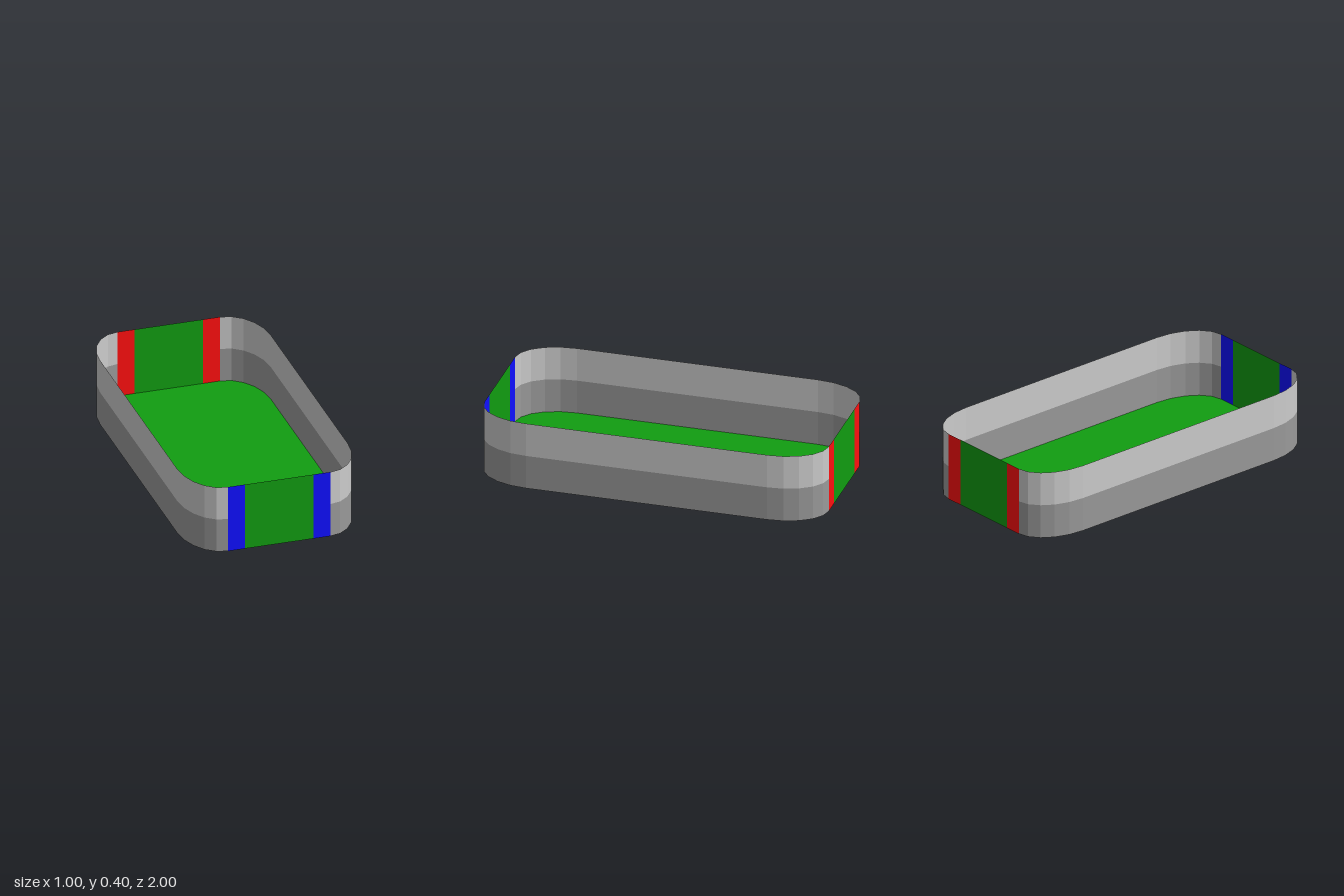
import * as THREE from 'three';

const HEIGHT = 0.4;

function material(color) {
  return new THREE.MeshStandardMaterial({ color, flatShading: true, side: THREE.DoubleSide });
}

// Thin upright wall following a plan path of [x, z] points
function wall(name, path, y0, y1, mat) {
  const positions = [];
  for (let i = 0; i < path.length - 1; i++) {
    const [ax, az] = path[i];
    const [bx, bz] = path[i + 1];
    positions.push(ax, y0, az, bx, y0, bz, bx, y1, bz);
    positions.push(ax, y0, az, bx, y1, bz, ax, y1, az);
  }
  const geometry = new THREE.BufferGeometry();
  geometry.setAttribute('position', new THREE.Float32BufferAttribute(positions, 3));
  geometry.computeVertexNormals();
  const mesh = new THREE.Mesh(geometry, mat);
  mesh.name = name;
  return mesh;
}

export function createModel() {
  const group = new THREE.Group();
  group.name = 'rink';
  const green = material(0x119d11);
  const blue = material(0x0f0fff);
  const red = material(0xff0f0f);
  const lightGrey = material(0xcccccc);
  const darkGrey = material(0x999999);

  // One side in plan: front corner, straight run, back corner
  const side = [];
  for (const end of [1, -1]) {
    for (let i = 0; i <= 5; i++) {
      const a = ((end > 0 ? i : 5 - i) / 5) * Math.PI / 2;
      side.push([0.3 + 0.2 * Math.sin(a), end * (0.7 + 0.3 * Math.cos(a))]);
    }
  }
  const turn = (path) => path.map(([x, z]) => [-x, -z]);

  // Floor
  const outline = [...side, ...turn(side)].map(([x, z]) => new THREE.Vector2(x, -z));
  const floor = new THREE.Mesh(new THREE.ShapeGeometry(new THREE.Shape(outline)), green);
  floor.rotation.x = -Math.PI / 2;
  floor.name = 'floor';
  group.add(floor);

  // Side walls in two bands
  for (const [name, path] of [['left', side], ['right', turn(side)]]) {
    group.add(wall(name + 'LowerWall', path, 0, HEIGHT / 2, darkGrey));
    group.add(wall(name + 'UpperWall', path, HEIGHT / 2, HEIGHT, lightGrey));
  }

  // End walls: a goal panel between two coloured posts
  for (const [name, s, post] of [['front', 1, blue], ['back', -1, red]]) {
    const span = (a, b) => [[s * a, s], [s * b, s]];
    group.add(wall(name + 'GoalPanel', span(-0.2, 0.2), 0, HEIGHT, green));
    group.add(wall(name + 'PostA', span(-0.3, -0.2), 0, HEIGHT, post));
    group.add(wall(name + 'PostB', span(0.2, 0.3), 0, HEIGHT, post));
  }
  return group;
}
